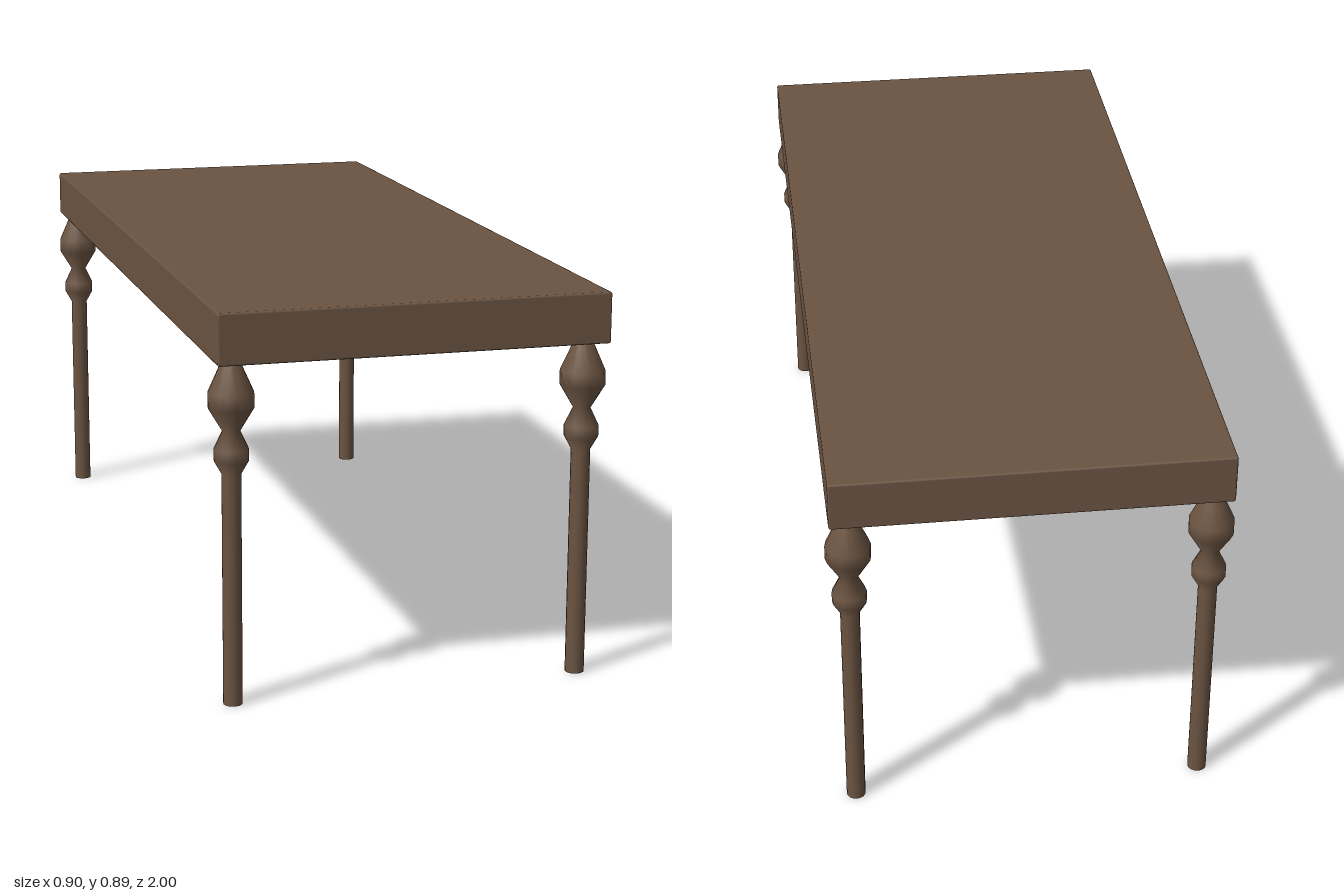
import * as THREE from 'three';
import { RoundedBoxGeometry } from 'three/addons/geometries/RoundedBoxGeometry.js';

export function createModel() {
  const model = new THREE.Group();
  model.name = 'table';

  const wood = new THREE.MeshStandardMaterial({ color: 0x6b5442 });
  wood.name = 'brown wood';

  // Thick slab with a tiny one-step bevel
  const top = new THREE.Mesh(new RoundedBoxGeometry(0.884, 0.115, 1.99, 1, 0.005), wood);
  top.name = 'tableTop';
  top.position.set(0, 0.8325, 0.005);
  model.add(top);

  // Turned leg: plain shaft with two bulbs, closed at both ends
  const profile = [
    [0, 0], [0.0217, 0], [0.0217, 0], [0.0217, 0.525], [0.0385, 0.555], [0.0385, 0.58],
    [0.0195, 0.62], [0.0505, 0.672], [0.0505, 0.705], [0.0217, 0.77], [0.0217, 0.77], [0, 0.77],
  ].map(([r, y]) => new THREE.Vector2(r, y));
  const legGeometry = new THREE.LatheGeometry(profile, 16);

  for (const [side, x] of [['Left', 0.4], ['Right', -0.4]]) {
    for (const [end, z] of [['front', 0.94], ['back', -0.948]]) {
      const leg = new THREE.Mesh(legGeometry, wood);
      leg.name = `${end}${side}Leg`;
      leg.position.set(x, 0, z);
      model.add(leg);
    }
  }
  return model;
}
